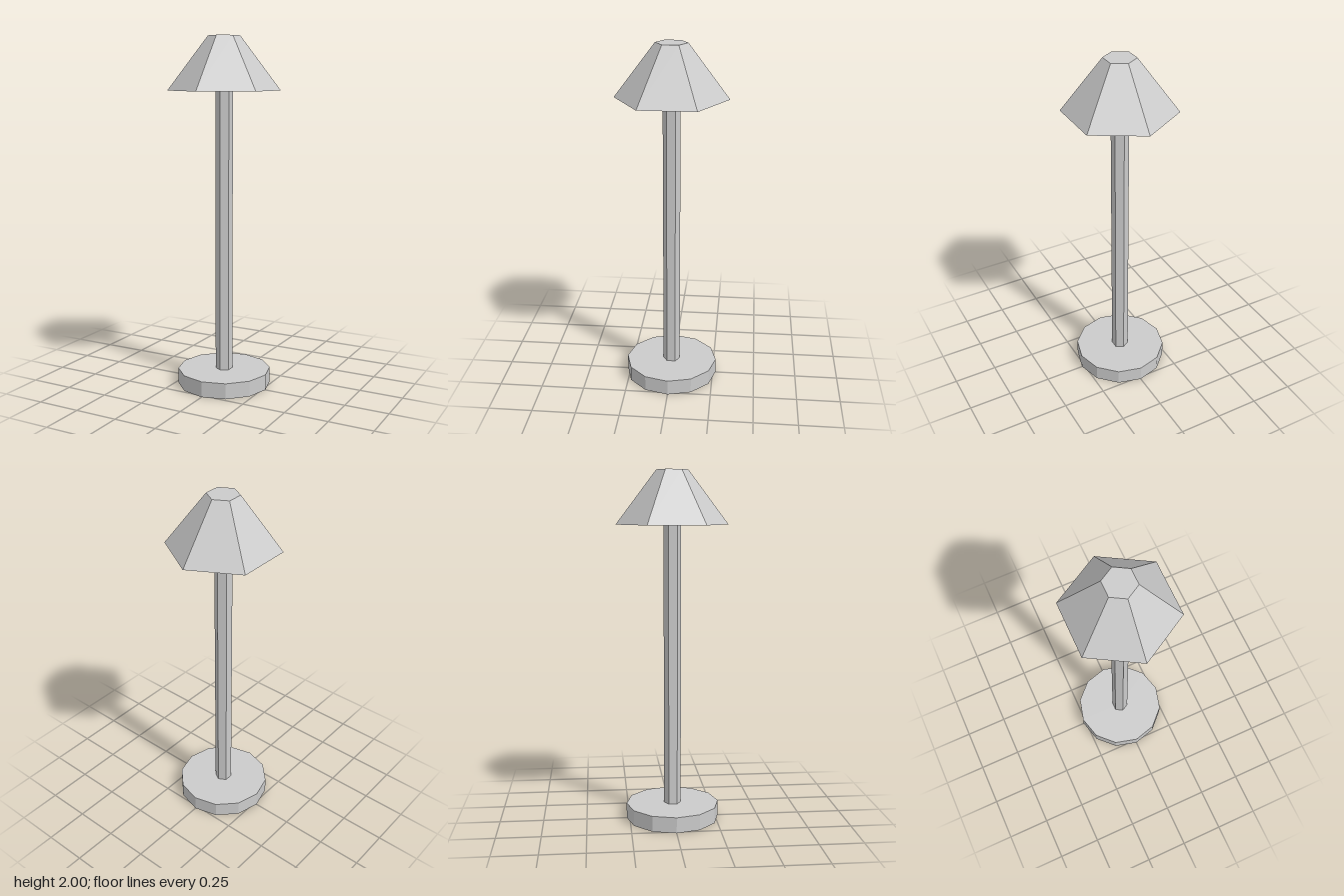
import * as THREE from 'three';

export function createModel() {
  const model = new THREE.Group();
  const material = new THREE.MeshStandardMaterial({ color: 0xcccccc, flatShading: true });

  // Stacked prism or frustum standing between two heights
  function addPart(name, topRadius, bottomRadius, y0, y1, sides) {
    const geometry = new THREE.CylinderGeometry(topRadius, bottomRadius, y1 - y0, sides);
    const mesh = new THREE.Mesh(geometry, material);
    mesh.name = name;
    mesh.position.y = (y0 + y1) / 2;
    model.add(mesh);
  }

  addPart('base', 0.268, 0.268, 0, 0.09, 12);
  addPart('pole', 0.049, 0.049, 0.09, 1.7, 6);
  addPart('shade', 0.089, 0.316, 1.7, 2, 6);

  return model;
}
